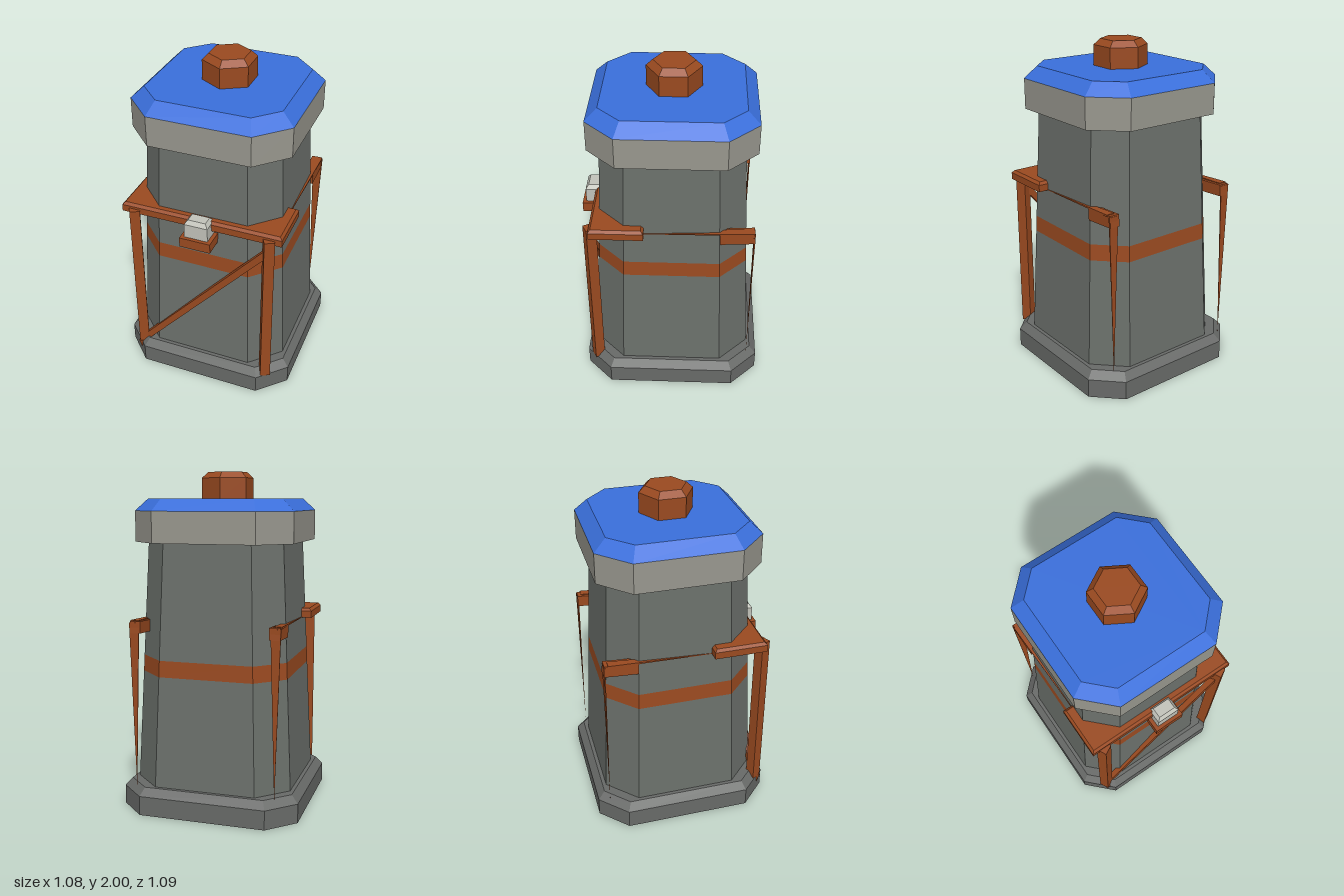
import * as THREE from 'three';

const CZ = -0.007; // centre of the tower along z

// Square ring with cut corners: h = half width, f = half length of a flat side
function ring([h, f, y]) {
  return [[f, h], [h, f], [h, -f], [f, -h], [-f, -h], [-h, -f], [-h, f], [-f, h]]
    .map(([x, z]) => [x, y, z + CZ]);
}

// Faceted shell through a stack of rings, with optional end caps
function tower(levels, capBottom = false, capTop = false) {
  const rings = levels.map(ring), n = 8, pos = [];
  const tri = (a, b, c) => pos.push(...a, ...b, ...c);
  for (let k = 0; k + 1 < rings.length; k++) {
    const lo = rings[k], hi = rings[k + 1];
    for (let i = 0; i < n; i++) {
      const j = (i + 1) % n;
      tri(lo[i], lo[j], hi[j]);
      tri(lo[i], hi[j], hi[i]);
    }
  }
  const top = rings[rings.length - 1], bot = rings[0];
  for (let i = 1; i + 1 < n; i++) {
    if (capTop) tri(top[0], top[i], top[i + 1]);
    if (capBottom) tri(bot[0], bot[i + 1], bot[i]);
  }
  const g = new THREE.BufferGeometry();
  g.setAttribute('position', new THREE.Float32BufferAttribute(pos, 3));
  g.computeVertexNormals();
  return g;
}

function flat(g) {
  const out = g.index ? g.toNonIndexed() : g;
  out.computeVertexNormals();
  return out;
}

// Box whose top face is drawn in by a small bevel
function bevelBox(w, h, d, bevel, drop) {
  const g = new THREE.BoxGeometry(w, h, d, 1, 2, 1);
  const p = g.attributes.position;
  for (let i = 0; i < p.count; i++) {
    const y = p.getY(i);
    if (y > h / 4) {
      p.setX(i, p.getX(i) - Math.sign(p.getX(i)) * bevel);
      p.setZ(i, p.getZ(i) - Math.sign(p.getZ(i)) * bevel);
    } else if (y > -h / 4) p.setY(i, h / 2 - drop);
  }
  return flat(g);
}

// Four-sided spike from a w x d end at y = 0 down to a point
function spike(w, d, length) {
  const g = new THREE.ConeGeometry(Math.SQRT1_2, length, 4);
  g.rotateY(Math.PI / 4);
  g.rotateX(Math.PI);
  g.scale(w, 1, d);
  g.translate(0, -length / 2, 0);
  return flat(g);
}

export function createModel() {
  const model = new THREE.Group();
  model.name = 'watchtower';
  const material = (name, color, side = THREE.FrontSide) => {
    const m = new THREE.MeshStandardMaterial({ color, side });
    m.name = name;
    return m;
  };
  const stone = material('stone', 0x6b706b);
  const baseStone = material('baseStone', 0x686a68, THREE.DoubleSide);
  const paleStone = material('paleStone', 0x98978e);
  const wood = material('wood', 0x9a4a20);
  const blue = material('blueRoof', 0x3a6fdb);
  const lampGrey = material('lampGrey', 0xc2c3ba);

  const add = (name, geometry, mat, x = 0, y = 0, z = 0) => {
    const m = new THREE.Mesh(geometry, mat);
    m.name = name;
    m.position.set(x, y, z);
    model.add(m);
    return m;
  };

  // Plinth: open underneath
  add('plinth', tower([[0.538, 0.38, 0], [0.538, 0.38, 0.115], [0.497, 0.36, 0.16], [0.46, 0.3, 0.16]]), baseStone);
  add('floor', tower([[0.475, 0.305, 0.15], [0.47, 0.3, 0.158]], true), baseStone);

  // Tapered wall with a wooden band
  const wallAt = y => {
    const t = (y - 0.16) / 1.44;
    return [0.475 - 0.067 * t, 0.303 - 0.043 * t, y];
  };
  add('lowerWall', tower([wallAt(0.158), wallAt(0.82)]), stone);
  add('woodBand', tower([wallAt(0.82), wallAt(0.917)]), wood);
  add('upperWall', tower([wallAt(0.917), wallAt(1.62)]), stone);

  // Collar and roof
  add('collar', tower([[0.475, 0.302, 1.595], [0.475, 0.302, 1.775]]), paleStone);
  add('roof', tower([[0.468, 0.298, 1.598], [0.468, 0.298, 1.77], [0.475, 0.302, 1.775], [0.403, 0.272, 1.845]], true, true), blue);

  // Hexagonal cap
  add('capBody', flat(new THREE.CylinderGeometry(0.158, 0.158, 0.125, 6)), wood, 0, 1.9025, CZ);
  add('capTop', flat(new THREE.CylinderGeometry(0.12, 0.158, 0.035, 6)), wood, 0, 1.9825, CZ);

  // Front gallery
  add('platform', bevelBox(0.98, 0.058, 0.315, 0.015, 0.016), wood, 0, 1.146, 0.308);
  for (const side of [-1, 1]) {
    const post = add('frontPost', flat(new THREE.CylinderGeometry(0.043, 0.043, 1.03, 4)), wood, side * 0.413, 0.63, 0.463);
    post.rotation.y = -0.3;
  }
  add('postTip', spike(0.03, 0.03, 0.075), wood, -0.42, 0.125, 0.488);

  // Diagonal brace between the posts
  const dx = 0.8, dy = 0.91;
  const brace = add('brace', flat(new THREE.BoxGeometry(Math.hypot(dx, dy), 0.04, 0.035)), wood, 0.005, 0.6, 0.462);
  brace.rotation.z = Math.atan2(dy, dx);

  // Lamp on a bracket
  add('lampBracket', flat(new THREE.BoxGeometry(0.188, 0.06, 0.13)), wood, 0, 1.05, 0.481);
  add('lamp', bevelBox(0.142, 0.112, 0.1, 0.018, 0.024), lampGrey, 0, 1.134, 0.475);

  // Rear stubs, pointed legs and thin side rails
  for (const side of [-1, 1]) {
    const stub = add('rearStub', flat(new THREE.BoxGeometry(0.062, 0.07, 0.2)), wood, side * 0.414, 1.107, -0.384);
    stub.rotation.x = 0.06;
    add('rearLeg', spike(0.06, 0.008, 1.0), wood, side * 0.42, 1.14, -0.48);
    const rail = add('sideRail', spike(0.05, 0.012, 0.88), wood, side * 0.425, 1.145, -0.46);
    rail.rotation.x = -Math.PI / 2 + 0.04;
  }
  return model;
}
